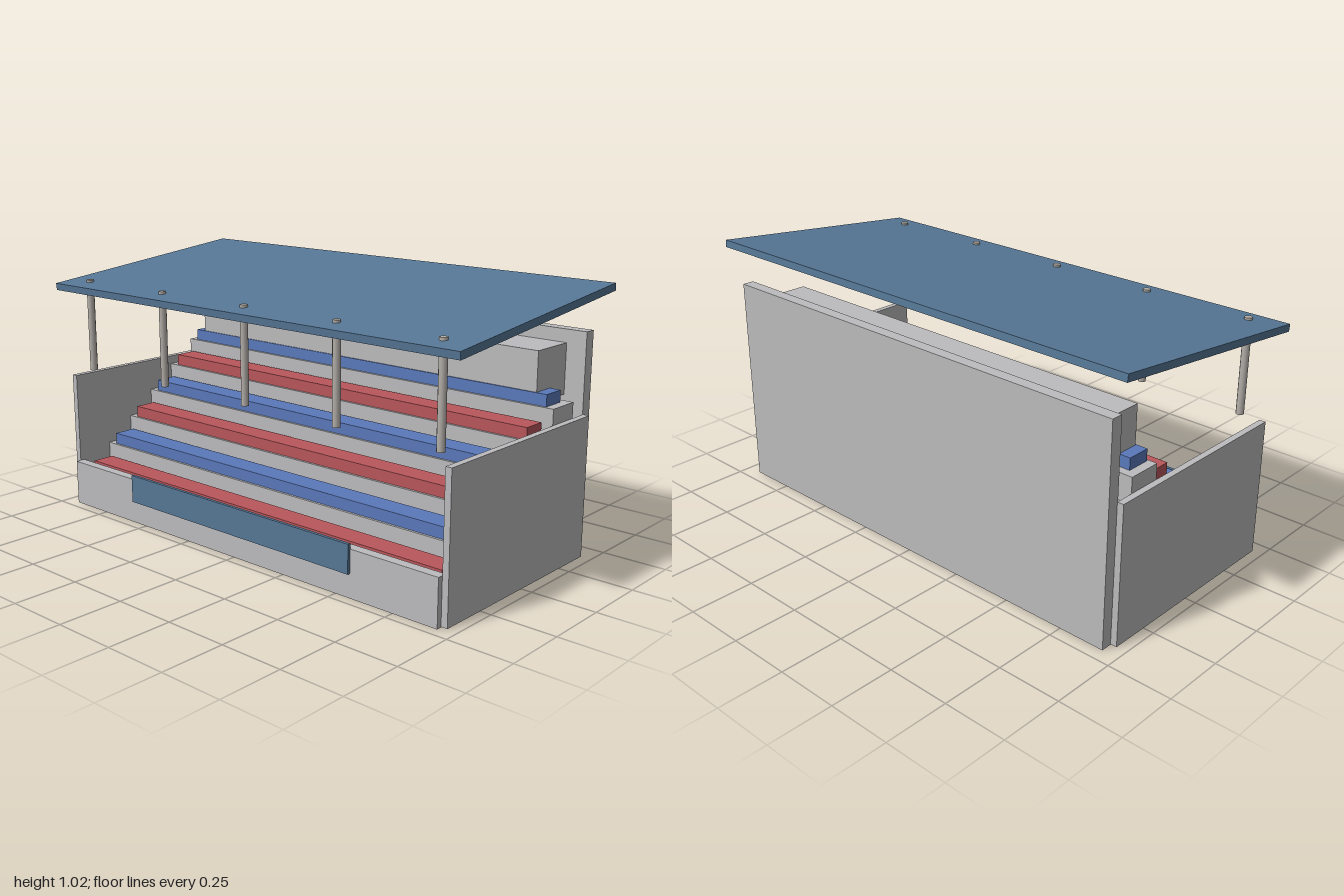
import * as THREE from 'three';

const mat = (name, color) => {
  const m = new THREE.MeshStandardMaterial({ color });
  m.name = name;
  return m;
};

export function createModel() {
  const model = new THREE.Group();
  model.name = 'grandstand';
  const concrete = mat('concrete grey', 0xbcbbbd);
  const steel = mat('steel grey', 0xb3aea9);
  const roofBlue = mat('roof blue', 0x567796);
  const seatBlue = mat('seat blue', 0x5a79bb);
  const seatRed = mat('seat red', 0xb9565b);

  // Box given by its limits on each axis
  const box = (name, material, x0, x1, y0, y1, z0, z1) => {
    const mesh = new THREE.Mesh(new THREE.BoxGeometry(x1 - x0, y1 - y0, z1 - z0), material);
    mesh.position.set((x0 + x1) / 2, (y0 + y1) / 2, (z0 + z1) / 2);
    mesh.name = name;
    model.add(mesh);
    return mesh;
  };

  // Walls
  box('backWall', concrete, 0.4, 0.447, 0, 0.85, -0.935, 0.935);
  box('frontWall', concrete, -0.461, -0.422, 0, 0.18, -0.935, 0.935);
  for (const s of [-1, 1]) {
    const z = s * 0.9475;
    box('sideWall', concrete, -0.44, 0.403, 0.002, 0.545, z - 0.0125, z + 0.0125);
  }

  // Six terraces with alternating red and blue benches, hollow underneath
  for (let i = 0; i < 6; i++) {
    const x = -0.405 + i * 0.12;
    const y = 0.13 + i * 0.095;
    box('step', concrete, x, x + 0.135, y - 0.1, y, -0.935, 0.935);
    box('bench', i % 2 ? seatBlue : seatRed, x + 0.01, x + 0.103, y, y + 0.045, -0.9, 0.9);
  }

  // Long cabin against the back wall
  box('cabin', concrete, 0.21, 0.4, 0.608, 0.8, -0.855, 0.855);

  // Banner panels
  box('frontBanner', roofBlue, -0.472, -0.459, 0.09, 0.2, -0.565, 0.565);
  box('rearPanel', roofBlue, 0.385, 0.401, 0.574, 0.68, -0.565, 0.565);

  // Sloping roof
  const roof = box('roof', roofBlue, -0.4715, 0.4715, -0.014, 0.014, -1, 1);
  roof.position.y = 0.961;
  roof.rotation.z = 0.106;

  // Posts passing through the roof
  const postGeometry = new THREE.CylinderGeometry(0.015, 0.015, 0.373, 12);
  for (let i = -2; i <= 2; i++) {
    const post = new THREE.Mesh(postGeometry, steel);
    post.name = 'roofPost';
    post.position.set(-0.39, 0.7565, i * 0.44);
    model.add(post);
  }
  return model;
}
